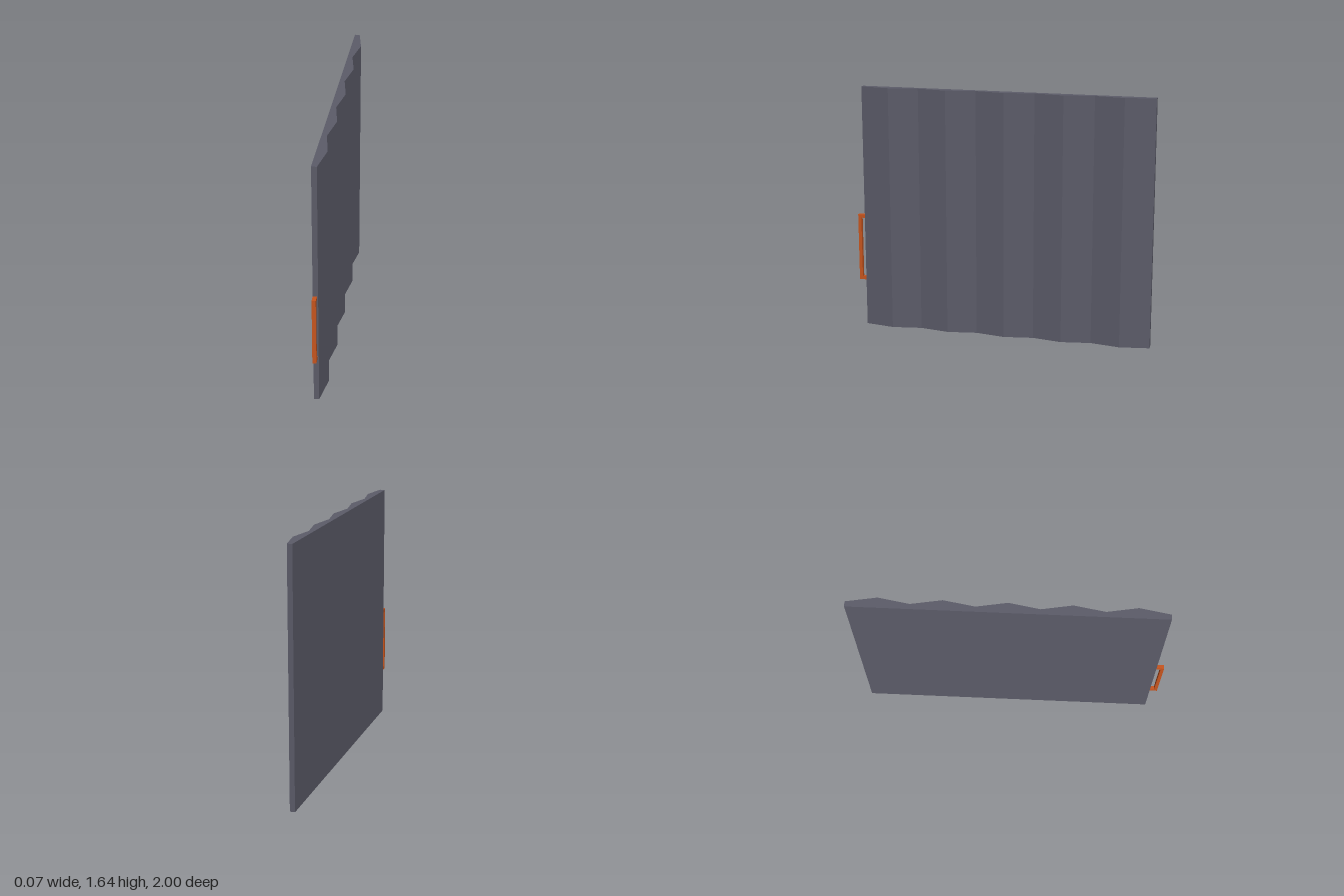
import * as THREE from 'three';

export function createModel() {
  const model = new THREE.Group();
  model.name = 'ridgedDoor';
  const slate = new THREE.MeshStandardMaterial({ color: 0x5c5c69 });
  slate.name = 'slate grey';
  const orange = new THREE.MeshStandardMaterial({ color: 0xc8551e });
  orange.name = 'orange';

  // Door panel: flat on the -x side, five pleated ridges on the +x side
  const half = 0.033, height = 1.64, back = -1, front = 0.95, ridges = 5;
  const step = (front - back) / (ridges * 2);
  const outline = new THREE.Shape();
  outline.moveTo(-half, -front);
  for (let i = ridges * 2; i >= 0; i--) {
    outline.lineTo(i % 2 ? half : 0, -(back + i * step));
  }
  outline.lineTo(-half, -back);
  const panelGeometry = new THREE.ExtrudeGeometry(outline, { depth: height, bevelEnabled: false });
  panelGeometry.rotateX(-Math.PI / 2);
  const panel = new THREE.Mesh(panelGeometry, slate);
  panel.name = 'doorPanel';
  model.add(panel);

  // Handle: square-cornered bracket on the front edge
  const bottom = 0.312, top = 0.768, bar = 0.022, reach = 1;
  const bracket = new THREE.Shape();
  [
    [front, bottom], [reach, bottom], [reach, top], [front, top],
    [front, top - bar], [reach - bar, top - bar],
    [reach - bar, bottom + bar], [front, bottom + bar],
  ].forEach(([z, y], i) => (i ? bracket.lineTo(-z, y) : bracket.moveTo(-z, y)));
  const handleGeometry = new THREE.ExtrudeGeometry(bracket, { depth: 0.025, bevelEnabled: false });
  handleGeometry.rotateY(Math.PI / 2);
  handleGeometry.translate(-0.032, 0, 0);
  const handle = new THREE.Mesh(handleGeometry, orange);
  handle.name = 'handle';
  model.add(handle);

  return model;
}
